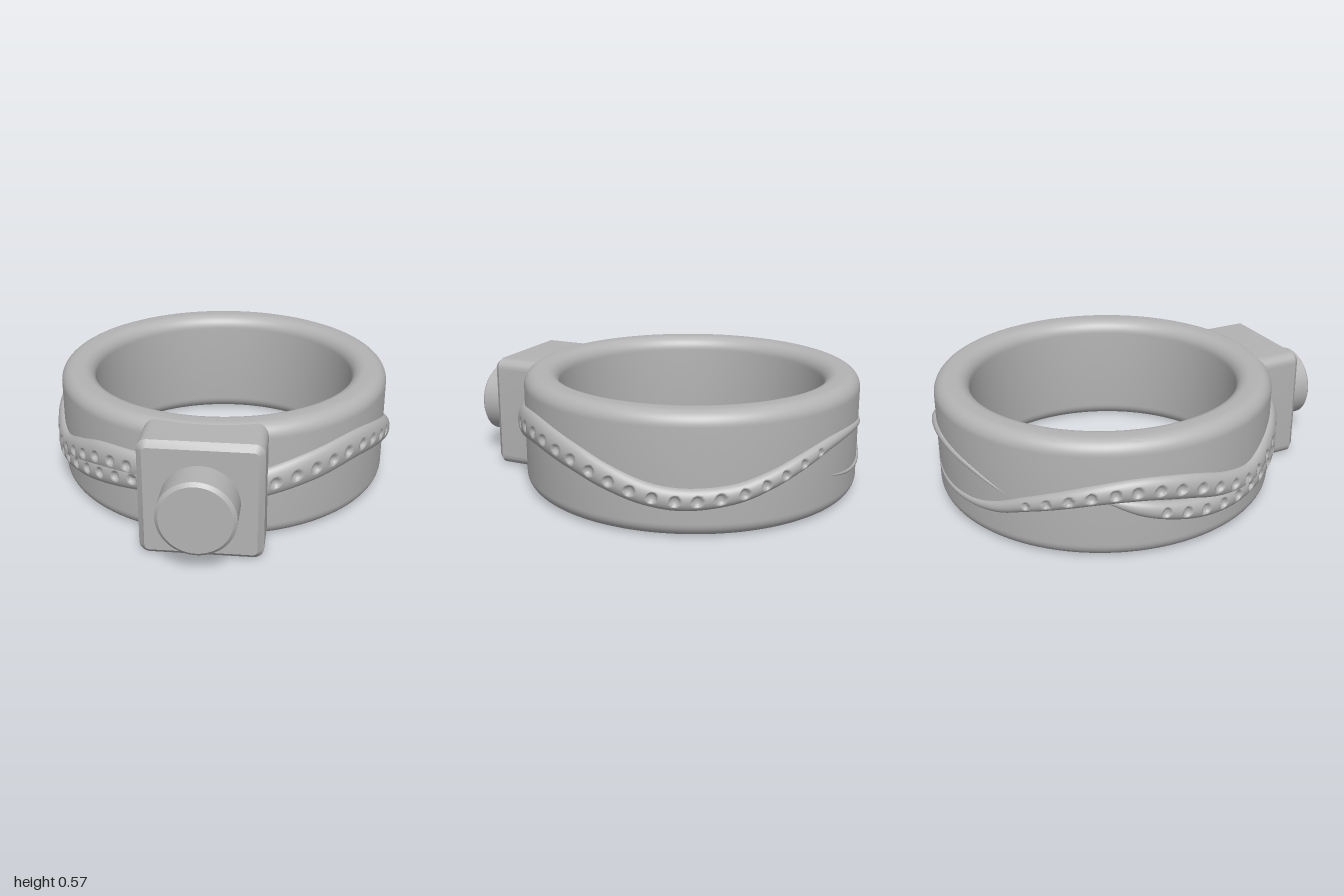
import * as THREE from 'three';
import { toCreasedNormals } from 'three/addons/utils/BufferGeometryUtils.js';

const H = 0.575, R_OUT = 0.835, R_IN = 0.662, CENTRE_Z = -0.156;
const rad = THREE.MathUtils.degToRad;

// Band: rectangular section with all four edges rounded
function bandGeometry() {
  const f = 0.068, pts = [];
  const corner = (r, y, from) => {
    for (let i = 0; i <= 10; i++) {
      const a = rad(from + i * 9);
      pts.push(new THREE.Vector2(r + f * Math.cos(a), y + f * Math.sin(a)));
    }
  };
  corner(R_OUT - f, f, -90);
  corner(R_OUT - f, H - f, 0);
  corner(R_IN + f, H - f, 90);
  corner(R_IN + f, f, 180);
  pts.push(pts[0].clone());
  return toCreasedNormals(new THREE.LatheGeometry(pts, 144), 0.5);
}

// Square head with softened corners and a chamfered face
function headGeometry() {
  const w = 0.256, c = 0.022, s = new THREE.Shape();
  s.moveTo(-w + c, -w);
  s.absarc(w - c, -w + c, c, -Math.PI / 2, 0);
  s.absarc(w - c, w - c, c, 0, Math.PI / 2);
  s.absarc(-w + c, w - c, c, Math.PI / 2, Math.PI);
  s.absarc(-w + c, -w + c, c, Math.PI, Math.PI * 1.5);
  const g = new THREE.ExtrudeGeometry(s, {
    depth: 0.21, bevelThickness: 0.03, bevelSize: 0.028, bevelSegments: 1, curveSegments: 6,
  });
  return toCreasedNormals(g, 0.5);
}

// Raised vine: a half-oval section swept round the band, with a row of dimples.
// Keys are [angle in degrees from the front, height, half width].
function vineGeometry(keys, gemFrom, gemTo) {
  const N = 420, M = 26;
  const curve = new THREE.CatmullRomCurve3(keys.map(([d, y, w]) => new THREE.Vector3(d / 100, y, w)));
  const path = [];
  for (let i = 0; i <= N; i++) {
    const p = curve.getPoint(i / N);
    path.push({ s: rad(p.x * 100) * R_OUT, y: p.y, w: Math.max(p.z, 0.002) });
  }
  const gems = [];
  for (let d = gemFrom; d <= gemTo; d += 6.7) {
    const s = rad(d) * R_OUT;
    gems.push(path.reduce((a, b) => (Math.abs(b.s - s) < Math.abs(a.s - s) ? b : a)));
  }
  const pos = [], idx = [];
  for (let i = 0; i <= N; i++) {
    const p = path[i], a = path[Math.max(i - 1, 0)], b = path[Math.min(i + 1, N)];
    const len = Math.hypot(b.s - a.s, b.y - a.y);
    const ns = -(b.y - a.y) / len, ny = (b.s - a.s) / len;
    const h = Math.min(0.04, p.w * 0.9);
    for (let j = 0; j <= M; j++) {
      const t = (Math.PI * j) / M, v = -Math.cos(t) * p.w;
      const s = p.s + ns * v, y = p.y + ny * v;
      let r = R_OUT - 0.004 + h * Math.sin(t);
      for (const g of gems) {
        const size = Math.min(0.024, g.w * 0.5);
        const q = Math.hypot(s - g.s, y - g.y) / size;
        if (q < 1) r -= size * 0.85 * Math.sqrt(1 - q * q);
      }
      pos.push(r * Math.sin(s / R_OUT), y, r * Math.cos(s / R_OUT));
      if (i < N && j < M) {
        const k = i * (M + 1) + j, n = k + M + 1;
        idx.push(k, n, n + 1, k, n + 1, k + 1);
      }
    }
  }
  const g = new THREE.BufferGeometry();
  g.setAttribute('position', new THREE.Float32BufferAttribute(pos, 3));
  g.setIndex(idx);
  g.computeVertexNormals();
  return g;
}

export function createModel() {
  const model = new THREE.Group();
  model.name = 'ring';
  const metal = new THREE.MeshStandardMaterial({ color: 0xb3b3b3 });
  metal.name = 'grey metal';
  const add = (name, geometry, y, z) => {
    const m = new THREE.Mesh(geometry, metal);
    m.name = name;
    m.position.set(0, y, z);
    model.add(m);
    return m;
  };

  add('band', bandGeometry(), 0, CENTRE_Z);
  add('head', headGeometry(), 0.286, 0.6);

  // Round button standing out of the head
  const button = [[0.18, 0], [0.18, 0.165], [0.163, 0.18], [0, 0.18]].map(([x, y]) => new THREE.Vector2(x, y));
  add('button', toCreasedNormals(new THREE.LatheGeometry(button, 72), 0.5), 0.288, 0.82)
    .rotation.x = Math.PI / 2;

  // Vines, thinning out across the back
  add('leftVine', vineGeometry([
    [15, 0.28, 0.068], [35, 0.335, 0.077], [54, 0.365, 0.075], [74, 0.315, 0.066], [86, 0.26, 0.06],
    [100, 0.202, 0.054], [111, 0.184, 0.052], [127, 0.205, 0.046], [138, 0.25, 0.042], [150, 0.31, 0.038],
    [162, 0.355, 0.03], [177, 0.365, 0.02], [198, 0.33, 0.013], [216, 0.25, 0.003],
  ], 21.8, 160), 0, CENTRE_Z);

  add('rightUpperVine', vineGeometry([
    [-200, 0.2, 0.003], [-180, 0.155, 0.012], [-161, 0.16, 0.018], [-150, 0.19, 0.028], [-139, 0.246, 0.036],
    [-118, 0.325, 0.048], [-104, 0.343, 0.056], [-89, 0.318, 0.06], [-74, 0.262, 0.06], [-62, 0.24, 0.06],
    [-49, 0.285, 0.066], [-37, 0.327, 0.072], [-26, 0.337, 0.072], [-15, 0.335, 0.07],
  ], -139, -20), 0, CENTRE_Z);

  add('rightLowerVine', vineGeometry([
    [-114, 0.29, 0.01], [-104, 0.25, 0.038], [-96, 0.222, 0.046], [-84, 0.192, 0.052], [-72, 0.185, 0.055],
    [-60, 0.2, 0.058], [-45, 0.228, 0.062], [-30, 0.262, 0.066], [-15, 0.29, 0.066],
  ], -97, -20), 0, CENTRE_Z);

  return model;
}
